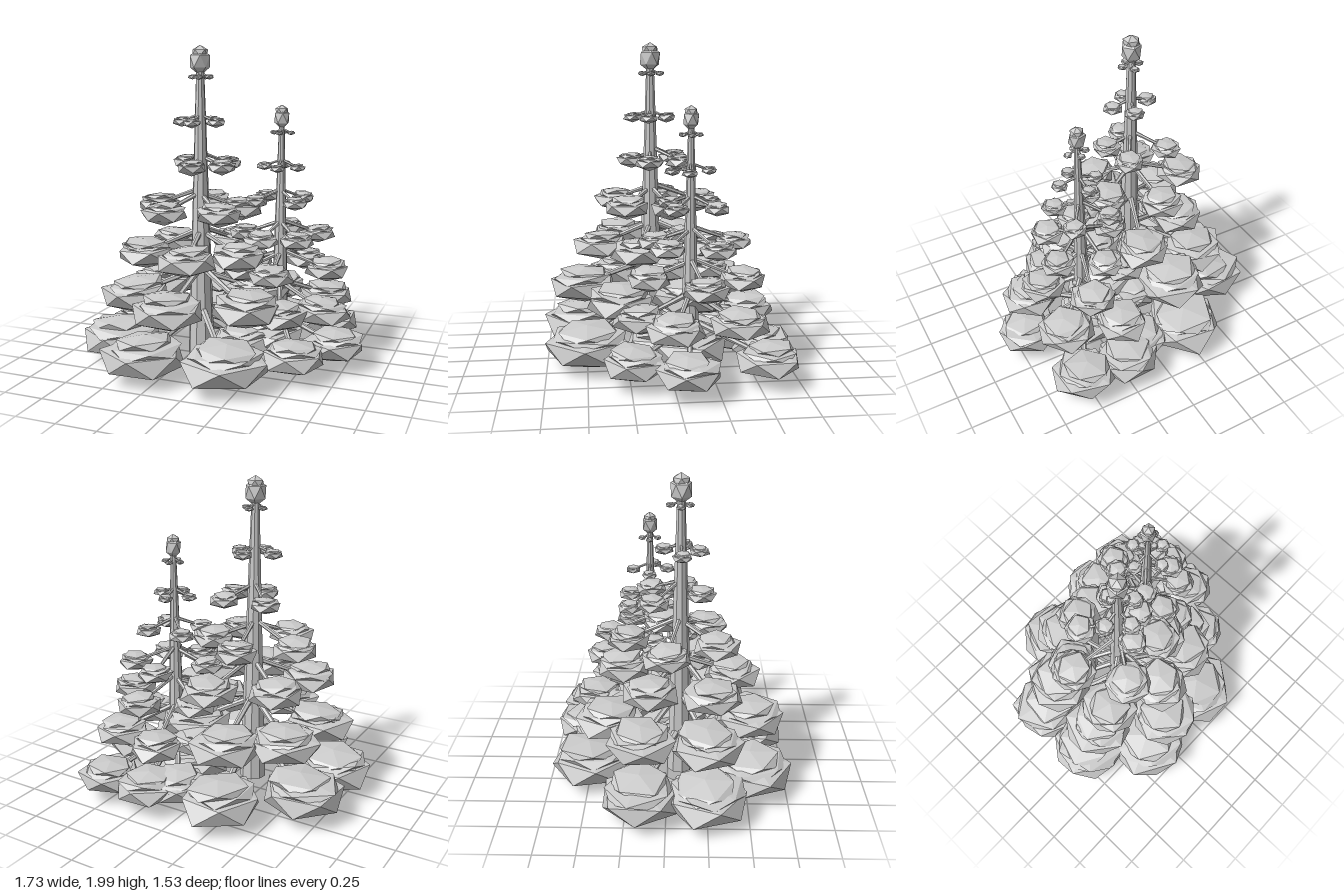
import * as THREE from 'three';
import { mergeGeometries } from 'three/addons/utils/BufferGeometryUtils.js';

// Each tier: [height, pad radius, then x, z of every pad]
const TALL = [
  [0.17, 0.25, -0.62, -0.15, -0.63, 0.25, -0.34, 0.53, 0.17, 0.5, -0.24, -0.48, 0.22, -0.12],
  [0.46, 0.21, -0.53, 0.25, -0.18, 0.51, 0.23, 0.3, -0.5, -0.15, -0.2, -0.36, 0.16, -0.12],
  [0.74, 0.17, -0.44, 0.27, -0.11, 0.4, 0.14, 0.18, -0.4, -0.1, -0.04, -0.28],
  [1.0, 0.135, -0.47, 0.0, -0.3, 0.3, 0.03, 0.24, -0.2, -0.23, 0.08, -0.03],
  [1.27, 0.09, -0.31, -0.08, -0.16, 0.2, 0.0, 0.1, -0.04, -0.1],
  [1.54, 0.058, -0.27, 0.09, -0.16, 0.19, -0.04, 0.1, -0.12, -0.02],
  [1.81, 0.028, -0.2, 0.08, -0.14, 0.13, -0.09, 0.08, -0.14, 0.02],
];
const SHORT = [
  [0.17, 0.19, 0.52, -0.56, 0.23, -0.57, 0.68, -0.07, 0.51, 0.23, 0.07, -0.46, 0.12, 0.05],
  [0.4, 0.165, 0.62, 0.0, 0.55, -0.38, 0.22, -0.48, 0.4, 0.18, 0.04, -0.28],
  [0.62, 0.135, 0.6, -0.17, 0.33, 0.13, 0.38, -0.42, 0.08, -0.25, 0.12, 0.02],
  [0.83, 0.105, 0.52, -0.25, 0.25, 0.09, 0.28, -0.38, 0.09, -0.1, 0.46, 0.03],
  [1.05, 0.075, 0.43, -0.02, 0.18, -0.01, 0.17, -0.25, 0.41, -0.26],
  [1.26, 0.047, 0.2, -0.12, 0.42, -0.1, 0.32, -0.01, 0.3, -0.23],
  [1.47, 0.024, 0.26, -0.12, 0.31, -0.07, 0.37, -0.12, 0.31, -0.17],
];

function createRandom(seed) {
  return () => (seed = (seed * 16807) % 2147483647) / 2147483647;
}

export function createModel() {
  const random = createRandom(4211);
  const material = new THREE.MeshStandardMaterial({ color: 0xcccccc, flatShading: true });
  material.name = 'pale grey';
  const model = new THREE.Group();
  model.name = 'twinConifers';

  // Irregular pentagonal gem: unit radius, with its own heights above and below
  function gem(radius, up, down, spin) {
    const g = new THREE.IcosahedronGeometry(1 / 0.894, 0);
    g.rotateX(-Math.atan((1 + Math.sqrt(5)) / 2));
    const p = g.attributes.position;
    const phase = random() * 6.28;
    for (let i = 0; i < p.count; i++) {
      const x = p.getX(i), y = p.getY(i), z = p.getZ(i);
      const wobble = 1 + 0.07 * Math.sin(3 * x + 5 * z + 4 * y + phase);
      p.setXYZ(i, x * wobble * radius, y * 0.894 * (y > 0 ? up : down), z * wobble * radius);
    }
    g.rotateY(spin);
    g.deleteAttribute('uv');
    g.computeVertexNormals();
    return g;
  }

  // A needle pad: faceted underside with two thin tilted layers on top
  function pad(x, y, z, r) {
    const spin = random() * 6.28;
    const parts = [gem(r, r * 0.3, r * 0.62, spin)];
    for (let k = 0; k < 2; k++) {
      const layer = gem(r * (0.86 - k * 0.14), r * 0.17, r * 0.2, spin + 0.5 + k * 0.8);
      layer.rotateX((random() - 0.5) * 0.16);
      layer.rotateZ((random() - 0.5) * 0.16);
      layer.translate((random() - 0.5) * r * 0.16, r * (0.2 + k * 0.12), (random() - 0.5) * r * 0.16);
      parts.push(layer);
    }
    return mergeGeometries(parts).translate(x, y, z);
  }

  // Tapered rod between two points
  function rod(a, b, r0, r1, sides) {
    const d = b.clone().sub(a);
    const g = new THREE.CylinderGeometry(r1, r0, d.length(), sides);
    g.applyQuaternion(new THREE.Quaternion().setFromUnitVectors(new THREE.Vector3(0, 1, 0), d.normalize()));
    const mid = a.clone().add(b).multiplyScalar(0.5);
    return g.translate(mid.x, mid.y, mid.z);
  }

  function add(group, name, geometry) {
    const mesh = new THREE.Mesh(geometry, material);
    mesh.name = name;
    group.add(mesh);
  }

  function tree(name, cx, cz, height, baseRadius, tiers) {
    const group = new THREE.Group();
    group.name = name;
    const tipRadius = baseRadius * 0.27;
    add(group, 'trunk', rod(new THREE.Vector3(cx, 0.06, cz),
      new THREE.Vector3(cx, height - 0.09, cz), baseRadius, tipRadius, 9));

    tiers.forEach(([y, r, ...spots], level) => {
      const pads = [], branches = [];
      for (let i = 0; i < spots.length; i += 2) {
        const x = spots[i], z = spots[i + 1];
        pads.push(pad(x, y, z, r));
        // Branch drops from the trunk into the pad
        const reach = Math.hypot(x - cx, z - cz);
        branches.push(rod(new THREE.Vector3(cx, y + reach * 0.38, cz),
          new THREE.Vector3(x, y, z), 0.006 + r * 0.07, 0.004 + r * 0.05, 6));
      }
      add(group, 'needlePads' + (level + 1), mergeGeometries(pads));
      add(group, 'branches' + (level + 1), mergeGeometries(branches));
    });

    // Crown bud: tall gem with a smaller pointed cap
    const s = height / 2;
    const bud = gem(0.06 * s, 0.075 * s, 0.09 * s, 0.4).translate(cx, height - 0.095 * s, cz);
    const cap = gem(0.048 * s, 0.05 * s, 0.04 * s, 1).translate(cx, height - 0.05 * s, cz);
    add(group, 'crownBud', mergeGeometries([bud, cap]));
    model.add(group);
  }

  tree('tallTree', -0.15, 0.08, 2, 0.085, TALL);
  tree('shortTree', 0.31, -0.12, 1.64, 0.062, SHORT);
  return model;
}
